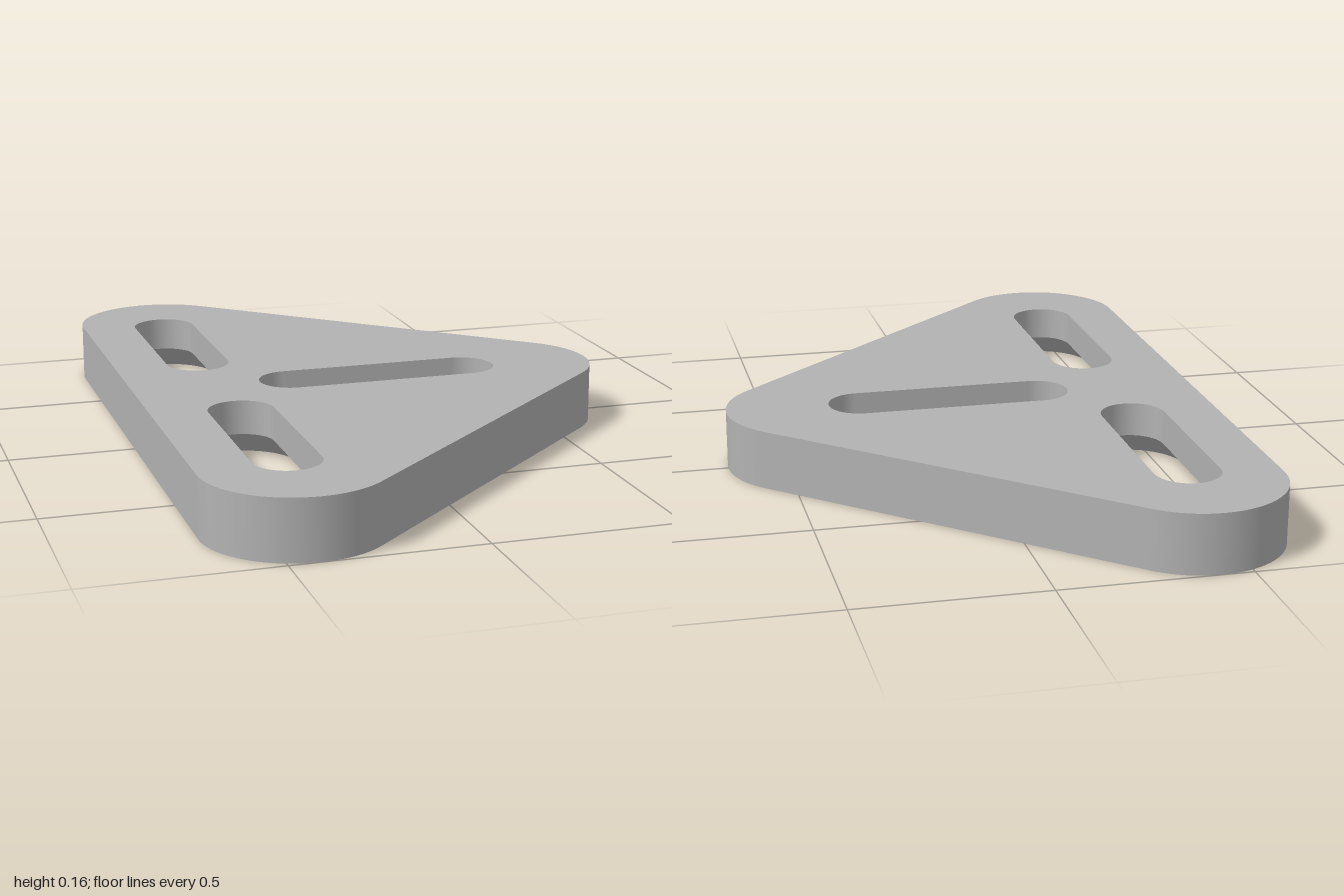
import * as THREE from 'three';

const HEIGHT = 0.16, CORNER_R = 0.24, SLOT_R = 0.088;
const SINK_R = 0.155, SINK_DEPTH = 0.067;

// Rounded outline around a convex loop of [x, z] centres, each point with its normal angle
function ring(centres, r, steps = 32) {
  const n = centres.length, points = [];
  const normalAngle = (a, b) => Math.atan2(a[0] - b[0], b[1] - a[1]);
  centres.forEach((c, i) => {
    const start = normalAngle(centres[(i + n - 1) % n], c);
    let end = normalAngle(c, centres[(i + 1) % n]);
    while (end <= start) end += Math.PI * 2;
    for (let k = 0; k <= steps; k++) {
      const a = start + (end - start) * k / steps;
      points.push({ x: c[0] + r * Math.cos(a), z: c[1] + r * Math.sin(a), a });
    }
  });
  return points;
}

// Smooth wall between two rings; a hole wall faces inwards
function wall(centres, r0, y0, r1, y1, hole) {
  const low = ring(centres, r0), high = ring(centres, r1);
  const pos = [], nor = [], index = [], s = hole ? -1 : 1;
  const len = Math.hypot(y1 - y0, r0 - r1);
  const nh = s * (y1 - y0) / len, ny = s * (r0 - r1) / len;
  low.forEach((p, i) => {
    pos.push(p.x, y0, p.z, high[i].x, y1, high[i].z);
    for (let k = 0; k < 2; k++) nor.push(Math.cos(p.a) * nh, ny, Math.sin(p.a) * nh);
    const b = 2 * i, c = 2 * ((i + 1) % low.length);
    if (hole) index.push(b, c + 1, b + 1, b, c, c + 1);
    else index.push(b, b + 1, c + 1, b, c + 1, c);
  });
  const g = new THREE.BufferGeometry();
  g.setAttribute('position', new THREE.Float32BufferAttribute(pos, 3));
  g.setAttribute('normal', new THREE.Float32BufferAttribute(nor, 3));
  g.setIndex(index);
  return g;
}

// Flat face with holes, facing up or down
function cap(outline, holes, y, up) {
  const s = up ? -1 : 1;
  const toPoints = loop => loop.map(p => new THREE.Vector2(p.x, s * p.z));
  const shape = new THREE.Shape(toPoints(outline));
  holes.forEach(h => shape.holes.push(new THREE.Path(toPoints(h))));
  return new THREE.ShapeGeometry(shape).rotateX(s * Math.PI / 2).translate(0, y, 0);
}

export function createModel() {
  const group = new THREE.Group();
  group.name = 'slottedPlate';
  const grey = new THREE.MeshStandardMaterial({ color: 0xb2b2b2 });
  grey.name = 'grey';
  const add = (name, geometry) => {
    const mesh = new THREE.Mesh(geometry, grey);
    mesh.name = name;
    group.add(mesh);
  };

  const corners = [[-0.417, -0.76], [0.417, 0], [-0.417, 0.76]];
  const slots = [
    { name: 'centreSlot', centres: [[-0.215, 0], [0.287, 0]], sink: false },
    { name: 'backSlot', centres: [[-0.42, -0.708], [-0.42, -0.253]], sink: true },
    { name: 'frontSlot', centres: [[-0.42, 0.253], [-0.42, 0.708]], sink: true },
  ];

  // Plate body
  const outline = ring(corners, CORNER_R);
  add('outerWall', wall(corners, CORNER_R, 0, CORNER_R, HEIGHT, false));
  add('topFace', cap(outline, slots.map(s => ring(s.centres, SLOT_R)), HEIGHT, true));
  add('bottomFace', cap(outline, slots.map(s => ring(s.centres, s.sink ? SINK_R : SLOT_R)), 0, false));

  // Slots, the outer pair countersunk from below
  for (const { name, centres, sink } of slots) {
    add(name + 'Wall', wall(centres, SLOT_R, sink ? SINK_DEPTH : 0, SLOT_R, HEIGHT, true));
    if (sink) add(name + 'Countersink', wall(centres, SINK_R, 0, SLOT_R, SINK_DEPTH, true));
  }
  return group;
}
